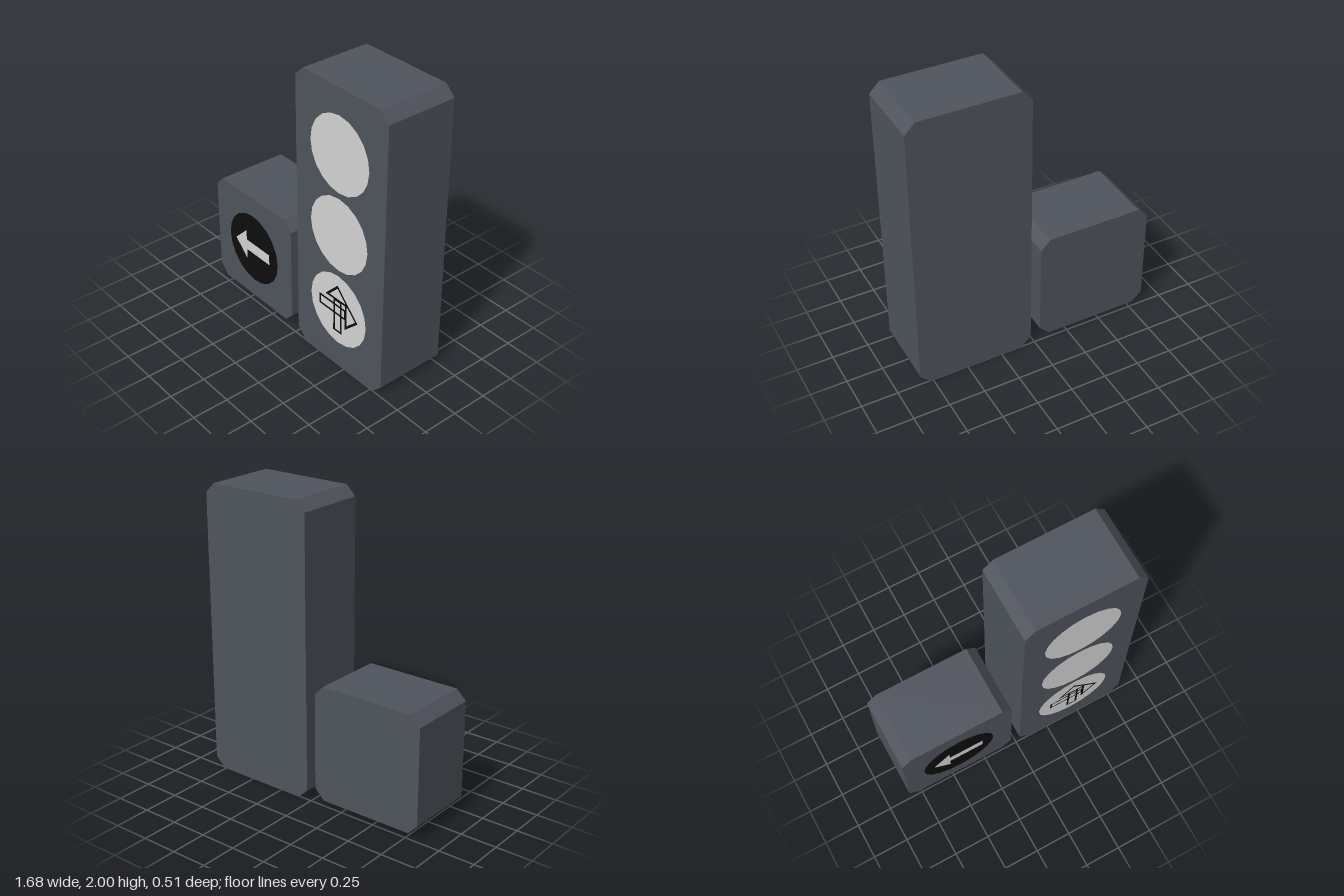
import * as THREE from 'three';

const mat = (name, color, side = THREE.FrontSide) => {
  const m = new THREE.MeshStandardMaterial({ color, side });
  m.name = name;
  return m;
};

const BACK = -0.253, FRONT = 0.245;

const polygon = (pts) => new THREE.Shape(pts.map(([x, y]) => new THREE.Vector2(x, y)));

// Moves every edge of a counter-clockwise convex polygon inward by w
function inset(pts, w) {
  const n = pts.length;
  const dir = (a, b) => {
    const l = Math.hypot(b[0] - a[0], b[1] - a[1]);
    return [(b[0] - a[0]) / l, (b[1] - a[1]) / l];
  };
  return pts.map((p, i) => {
    const d0 = dir(pts[(i + n - 1) % n], p), d1 = dir(p, pts[(i + 1) % n]);
    const k = w / (d0[0] * d1[1] - d0[1] * d1[0]);
    return [p[0] + (d1[0] - d0[0]) * k, p[1] + (d1[1] - d0[1]) * k];
  });
}

function outline(pts, w) {
  const s = polygon(pts);
  s.holes.push(new THREE.Path(inset(pts, w).reverse().map(([x, y]) => new THREE.Vector2(x, y))));
  return s;
}

// Head and shaft of an arrow pointing right, centred on the lamp
const HEAD = [[0.07, -0.116], [0.19, 0], [0.07, 0.116]];
const SHAFT = [[-0.175, -0.04], [0.078, -0.04], [0.078, 0.04], [-0.175, 0.04]];

export function createModel() {
  const model = new THREE.Group();
  const housing = mat('housing grey', 0x50545d);
  const light = mat('lamp white', 0xd6d6d6, THREE.DoubleSide);
  const black = mat('lamp black', 0x0e0e0e, THREE.DoubleSide);

  const add = (name, geometry, material, x, y, z, turn = 0) => {
    const mesh = new THREE.Mesh(geometry, material);
    mesh.name = name;
    mesh.position.set(x, y, z);
    mesh.rotation.z = turn;
    model.add(mesh);
  };

  // Housings: chamfered rectangles pushed back in depth
  const addHousing = (name, x0, x1, y0, y1) => {
    const c = 0.068;
    const shape = polygon([
      [x0 + c, y0], [x1 - c, y0], [x1, y0 + c], [x1, y1 - c],
      [x1 - c, y1], [x0 + c, y1], [x0, y1 - c], [x0, y0 + c],
    ]);
    const geo = new THREE.ExtrudeGeometry(shape, { depth: FRONT - BACK, bevelEnabled: false });
    add(name, geo, housing, 0, 0, BACK);
  };
  addHousing('mainHousing', 0.03, 0.838, 0, 2);
  addHousing('sideHousing', -0.84, -0.04, 0.04, 0.84);

  // Lamps
  const disc = new THREE.CircleGeometry(0.261, 20);
  const lampX = 0.432, sideX = -0.442, lowY = 0.44;
  ['upperLamp', 'middleLamp', 'lowerLamp'].forEach((name, i) =>
    add(name, disc, light, lampX, [1.565, 1.005, lowY][i], FRONT + 0.004));
  add('sideLamp', disc, black, sideX, lowY, FRONT + 0.004);

  // Solid left arrow on the side lamp
  add('leftArrow', new THREE.ShapeGeometry([polygon(HEAD), polygon(SHAFT)]),
    light, sideX, lowY, FRONT + 0.008, Math.PI);

  // Outlined ahead and right arrows on the lower lamp
  const lines = new THREE.ShapeGeometry([outline(HEAD, 0.016), outline(SHAFT, 0.015)]);
  add('rightArrowOutline', lines, black, lampX, lowY, FRONT + 0.008);
  add('aheadArrowOutline', lines, black, lampX, lowY, FRONT + 0.008, Math.PI / 2);

  return model;
}
